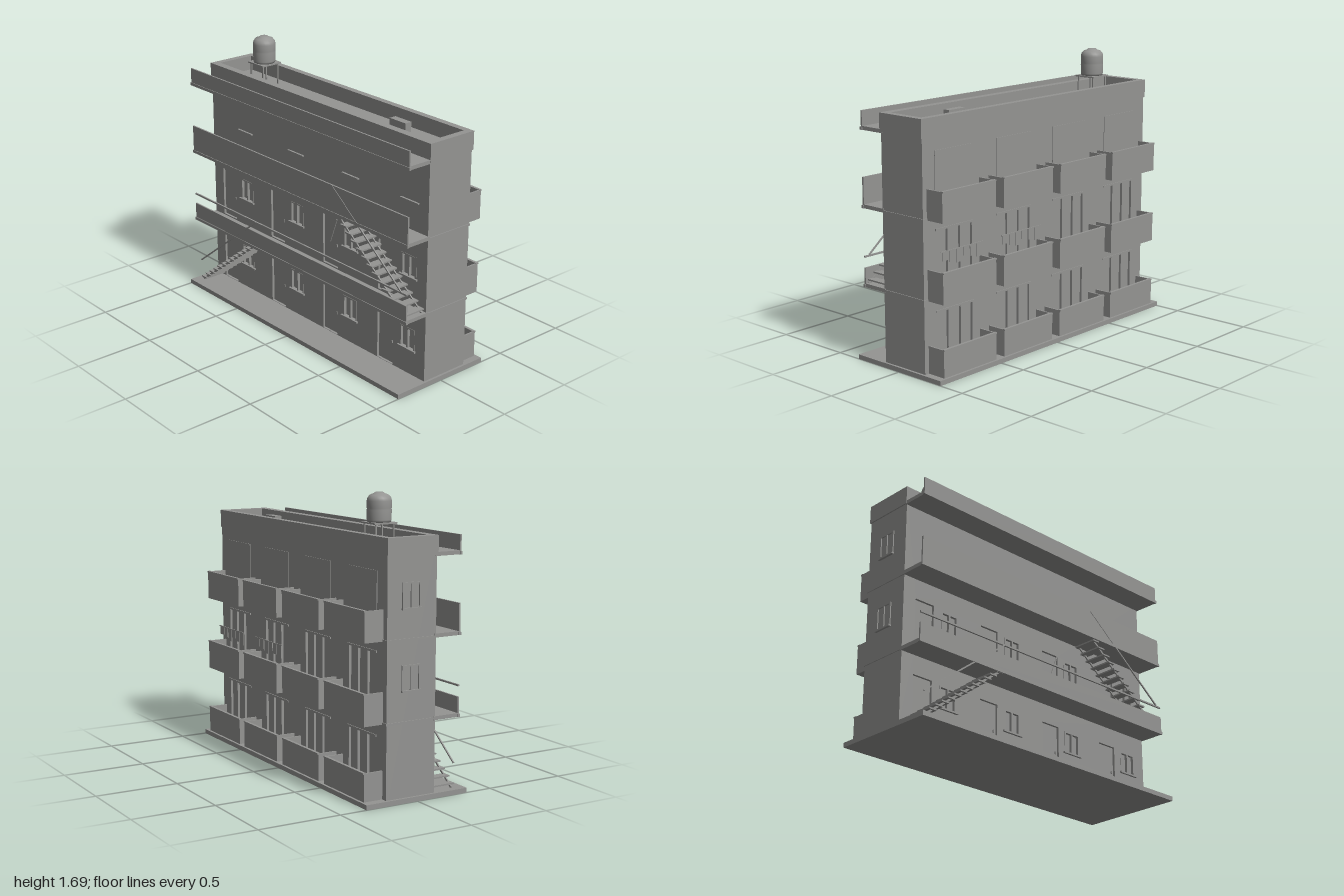
import * as THREE from 'three';

const concrete = new THREE.MeshStandardMaterial({ color: 0x949492 });
concrete.name = 'concrete grey';

export function createModel() {
  const root = new THREE.Group();
  root.name = 'apartmentBlock';

  const add = (name, geo, parent = root) => {
    const m = new THREE.Mesh(geo, concrete);
    m.name = name;
    parent.add(m);
    return m;
  };
  // box given by its limits on each axis
  const box = (name, x0, x1, y0, y1, z0, z1, parent = root) => {
    const m = add(name, new THREE.BoxGeometry(x1 - x0, y1 - y0, z1 - z0), parent);
    m.position.set((x0 + x1) / 2, (y0 + y1) / 2, (z0 + z1) / 2);
    return m;
  };
  // sloping bar in the x-y plane
  const bar = (name, xa, ya, xb, yb, z, t, d) => {
    const m = add(name, new THREE.BoxGeometry(Math.hypot(xb - xa, yb - ya), t, d));
    m.position.set((xa + xb) / 2, (ya + yb) / 2, z);
    m.rotation.z = Math.atan2(yb - ya, xb - xa);
  };
  // wall skin with rectangular openings [x0, x1, y0, y1]
  const skin = (name, openings, z, depth) => {
    const rect = (p, [x0, x1, y0, y1]) => {
      p.moveTo(x0, y0); p.lineTo(x1, y0); p.lineTo(x1, y1); p.lineTo(x0, y1); p.closePath();
      return p;
    };
    const s = rect(new THREE.Shape(), [-0.985, 0.985, 0.02, 1.4]);
    s.holes = openings.map(o => rect(new THREE.Path(), o));
    add(name, new THREE.ExtrudeGeometry(s, { depth, bevelEnabled: false })).position.z = z;
  };

  // ground slab and core
  box('groundSlab', -1, 1, 0, 0.028, -0.335, 0.335);
  box('core', -0.985, 0.985, 0.02, 1.38, -0.185, 0.105);

  // front openings: doors and windows on the two lower floors
  const winX = [-0.645, -0.15, 0.345, 0.84];
  const doorX = [-0.83, -0.335, 0.165, 0.655];
  const frontHoles = [];
  for (const f of [0.03, 0.475]) {
    const w = f < 0.1 ? 0.19 : 0.645;
    const top = f < 0.1 ? 0.33 : 0.79;
    winX.forEach(x => frontHoles.push([x - 0.06, x + 0.06, w, w + 0.13]));
    doorX.forEach(x => frontHoles.push([x - 0.067, x + 0.067, f, top]));
    winX.forEach(x => {
      const g = new THREE.Group();
      g.name = 'frontWindow';
      root.add(g);
      for (const dx of [-0.056, 0, 0.056]) box('windowBar', x + dx - 0.005, x + dx + 0.005, w, w + 0.13, 0.1, 0.122, g);
      box('windowHead', x - 0.06, x + 0.06, w + 0.122, w + 0.13, 0.1, 0.122, g);
      box('windowSill', x - 0.072, x + 0.072, w - 0.01, w, 0.1, 0.133, g);
    });
    doorX.forEach(x => box('doorKnob', x + 0.045, x + 0.052, f + 0.13, f + 0.145, 0.1, 0.113));
  }
  winX.forEach(x => box('upperSill', x - 0.072, x + 0.072, 1.1, 1.107, 0.11, 0.133));
  skin('frontWall', frontHoles, 0.105, 0.015);
  // door standing ajar
  bar('ajarDoor', 0.165, 0.63, 0.225, 0.79, 0.122, 0.006, 0.006);

  // rear openings with sliding glass doors
  const bays = [-0.735, -0.245, 0.25, 0.742];
  const backHoles = [];
  [[0.03, 0.38], [0.475, 0.85], [0.93, 1.29]].forEach(([y0, y1], f) => bays.forEach(x => {
    const w = 0.15;
    if (f === 2) {
      box('upperPanel', x - w, x + w, y0, y1, -0.204, -0.19);
      return;
    }
    backHoles.push([x - w, x + w, y0, y1]);
    for (const dx of [-0.145, -0.05, 0.05, 0.145]) box('slidingFrame', x + dx - 0.005, x + dx + 0.005, y0, y1, -0.2, -0.18);
    box('slidingHead', x - w, x + w, y1 - 0.012, y1, -0.205, -0.18);
  }));
  skin('backWall', backHoles, -0.2, 0.015);

  // rear balconies
  [[0.028, 0.19], [0.45, 0.63], [0.91, 1.085]].forEach(([y0, y1]) => bays.forEach(x => {
    const g = new THREE.Group();
    g.name = 'balcony';
    root.add(g);
    const h = 0.213;
    box('balconyFloor', x - h, x + h, y0, y0 + 0.015, -0.32, -0.19, g);
    box('balconyFront', x - h, x + h, y0, y1, -0.32, -0.31, g);
    box('balconyCap', x - h, x + h, y1 - 0.006, y1 + 0.003, -0.325, -0.307, g);
    for (const s of [-1, 1]) {
      const c = x + s * (h - 0.005);
      box('balconySide', c - 0.005, c + 0.005, y0, y1, -0.315, -0.19, g);
    }
  }));

  // air conditioners on the top balconies
  for (const x of [-0.855, 0.62]) box('airConditioner', x - 0.065, x + 0.065, 0.93, 1.01, -0.27, -0.225);

  // clothes lines with hanging cloths on two middle balconies
  for (const x of [bays[2], bays[3]]) {
    box('clothesLine', x - 0.17, x + 0.17, 0.728, 0.733, -0.263, -0.258);
    for (let i = 0; i < 6; i++) {
      const cx = x - 0.14 + i * 0.055;
      box('cloth', cx - 0.023, cx + 0.023, 0.65 + (i % 3) * 0.014, 0.73, -0.262, -0.258);
    }
  }

  // floor bands around the block
  for (const y of [0.45, 0.91]) box('floorBand', -0.99, 0.99, y, y + 0.012, -0.205, 0.125);

  // end windows on the model's right
  for (const y of [0.635, 1.09]) {
    for (const z of [-0.1, -0.045, 0.01]) box('endWindowBar', -0.992, -0.98, y, y + 0.14, z - 0.005, z + 0.005);
    box('endWindowHead', -0.992, -0.98, y + 0.132, y + 0.14, -0.1, 0.01);
    box('endWindowSill', -1, -0.98, y - 0.01, y, -0.108, 0.018);
  }

  // front galleries with parapets
  [[0.445, 0.56], [0.91, 1.09], [1.36, 1.47]].forEach(([y0, y1]) => {
    box('galleryFloor', -0.99, 0.99, y0, y0 + 0.022, 0.11, 0.28);
    box('galleryParapet', -0.99, 0.99, y0, y1, 0.27, 0.28);
    box('galleryLip', -0.995, 0.995, y0, y0 + 0.018, 0.268, 0.284);
  });
  box('galleryRail', -0.99, 0.99, 0.62, 0.63, 0.27, 0.28);

  // open stairs
  const stair = (xa, ya, xb, yb, n) => {
    for (let i = 0; i < n; i++) {
      const t = (i + 0.5) / n;
      const x = xa + (xb - xa) * t, y = ya + (yb - ya) * t;
      box('tread', x - 0.026, x + 0.026, y, y + 0.009, 0.125, 0.278);
    }
    for (const z of [0.14, 0.262]) bar('stringer', xa, ya, xb, yb, z, 0.012, 0.008);
  };
  stair(-0.95, 0.03, -0.38, 0.46, 13);
  bar('handrail', -0.95, 0.17, -0.36, 0.625, 0.277, 0.008, 0.008);
  stair(0.97, 0.465, 0.39, 0.915, 13);
  bar('handrail', 0.95, 0.63, 0.36, 1.09, 0.279, 0.008, 0.008);

  // roof and its parapet
  box('roofDeck', -0.985, 0.985, 1.36, 1.385, -0.2, 0.12);
  box('roofParapetFront', -0.993, 0.993, 1.365, 1.475, 0.077, 0.125);
  box('roofParapetBack', -0.993, 0.993, 1.365, 1.475, -0.205, -0.165);
  for (const s of [-1, 1]) box('roofParapetEnd', s * 0.972 - 0.021, s * 0.972 + 0.021, 1.365, 1.475, -0.17, 0.08);
  box('roofVent', 0.51, 0.64, 1.38, 1.465, -0.067, -0.022);

  // water tank on a stand
  const tank = new THREE.Group();
  tank.name = 'waterTank';
  tank.position.set(-0.655, 0, -0.043);
  root.add(tank);
  for (const x of [-0.058, 0.058]) for (const z of [-0.058, 0.058])
    box('tankLeg', x - 0.004, x + 0.004, 1.38, 1.52, z - 0.004, z + 0.004, tank);
  box('tankStand', -0.073, 0.073, 1.518, 1.527, -0.073, 0.073, tank);
  const profile = [[0, 1.527], [0.066, 1.527], [0.069, 1.54], [0.07, 1.595], [0.067, 1.6], [0.07, 1.605],
    [0.07, 1.645], [0.066, 1.662], [0.054, 1.677], [0.03, 1.686], [0.024, 1.692], [0, 1.692]];
  add('tankBody', new THREE.LatheGeometry(profile.map(p => new THREE.Vector2(...p)), 24), tank);

  return root;
}
